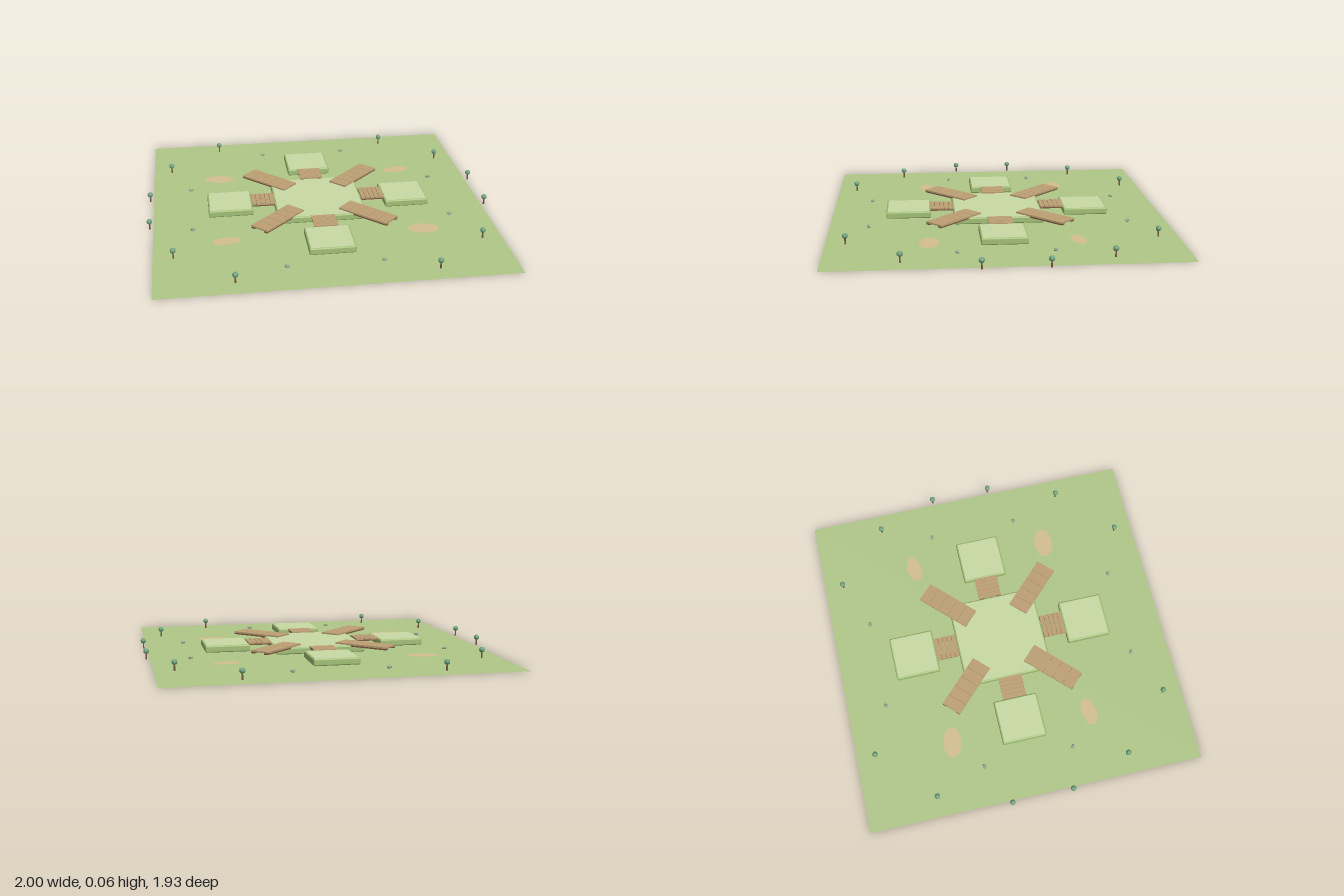
import * as THREE from 'three';
import { RoundedBoxGeometry } from 'three/addons/geometries/RoundedBoxGeometry.js';

const mat = (color, extra = {}) => new THREE.MeshStandardMaterial({ color, ...extra });
const GRASS = mat(0xb0c788, { side: THREE.DoubleSide });
const RIM = mat(0xa3c077);
const LAWN = mat(0xc8d9a4);
const SAND = mat(0xd3bf90, { side: THREE.DoubleSide });
const WOOD = mat(0xbc9f74);
const DARK_WOOD = mat(0x7b5a40);
const LEAF = mat(0x6fa37e, { flatShading: true });
const STONE = mat(0x98a58c, { flatShading: true });

function add(parent, name, geometry, material, x = 0, y = 0, z = 0) {
  const mesh = new THREE.Mesh(geometry, material);
  mesh.name = name;
  mesh.position.set(x, y, z);
  parent.add(mesh);
  return mesh;
}

// Raised grassy platform with a soft rim and a paler lawn on top
function platform(name, size, bottom, top) {
  const g = new THREE.Group();
  g.name = name;
  const h = top - bottom;
  add(g, 'platformBody', new RoundedBoxGeometry(size, h, size, 3, 0.008), RIM, 0, bottom + h / 2, 0);
  add(g, 'platformLawn', new THREE.BoxGeometry(size - 0.018, 0.004, size - 0.018), LAWN, 0, top - 0.001, 0);
  return g;
}

// Plank deck running along local x, its planks laid crosswise
function bridge(name, length, width, planks, top) {
  const g = new THREE.Group();
  g.name = name;
  const step = length / planks;
  for (let i = 0; i < planks; i++) {
    const x = (i + 0.5) * step - length / 2;
    add(g, 'plank', new THREE.BoxGeometry(step - 0.002, 0.009, width), WOOD, x, top - 0.0045, 0);
  }
  // Two bearers under the planks
  for (const s of [-1, 1]) {
    add(g, 'bearer', new THREE.BoxGeometry(length, 0.008, width * 0.2), DARK_WOOD, 0, top - 0.013, s * width * 0.38);
  }
  return g;
}

function tree(x, z) {
  const g = new THREE.Group();
  g.name = 'tree';
  add(g, 'trunk', new THREE.CylinderGeometry(0.004, 0.005, 0.036, 6), DARK_WOOD, 0, 0.02, 0);
  add(g, 'crown', new THREE.IcosahedronGeometry(0.016, 1), LEAF, 0, 0.049, 0);
  g.position.set(x, 0, z);
  return g;
}

export function createModel() {
  const model = new THREE.Group();
  model.name = 'plankBridgeGarden';

  // Ground sheet
  add(model, 'ground', new THREE.PlaneGeometry(1.93, 1.93), GRASS, 0, 0.002, 0).rotation.x = -Math.PI / 2;

  // Sandy patches: x, z, half width, half depth, turn
  for (const [x, z, rx, rz, turn] of [
    [-0.56, -0.41, 0.09, 0.052, -0.15], [0.56, -0.41, 0.08, 0.042, 0.12],
    [-0.56, 0.405, 0.082, 0.043, 0.12], [0.555, 0.405, 0.09, 0.055, -0.1],
  ]) {
    const patch = add(model, 'sandPatch', new THREE.CircleGeometry(1, 24), SAND, x, 0.004, z);
    patch.scale.set(rx, rz, 1);
    patch.rotation.set(-Math.PI / 2, 0, turn);
  }

  // Platforms and the bridges joining them
  model.add(platform('centrePlatform', 0.515, 0.008, 0.046));
  for (let i = 0; i < 4; i++) {
    const arm = new THREE.Group();
    arm.name = 'arm';
    arm.rotation.y = i * Math.PI / 2;

    const outer = platform('outerPlatform', 0.257, 0.011, 0.05);
    outer.position.x = 0.518;
    const link = bridge('linkBridge', 0.134, 0.137, 5, 0.053);
    link.position.x = 0.324;
    arm.add(outer, link);

    const ramp = bridge('cornerBridge', 0.33, 0.118, 5, 0.056);
    ramp.position.set(0.26, 0, -0.26);
    ramp.rotation.y = Math.PI / 4;
    arm.add(ramp);
    model.add(arm);
  }

  // Trees and stones mirrored over the four quarters
  for (const sx of [-1, 1]) for (const sz of [-1, 1]) {
    model.add(tree(sx * 0.54, sz * 0.855), tree(sx * 0.855, sz * 0.557));
    for (const [x, z] of [[0.26, 0.742], [0.742, 0.26]]) {
      const stone = add(model, 'stone', new THREE.DodecahedronGeometry(0.016), STONE, sx * x, 0.012, sz * z);
      stone.scale.set(1, 0.55, 0.75);
      stone.rotation.y = sx * sz * 0.4;
    }
  }

  // Trees just past the side edges
  for (const [x, z] of [[-0.984, -0.152], [-0.984, 0.2], [0.984, -0.206], [0.984, 0.147]]) {
    model.add(tree(x, z));
  }
  return model;
}
